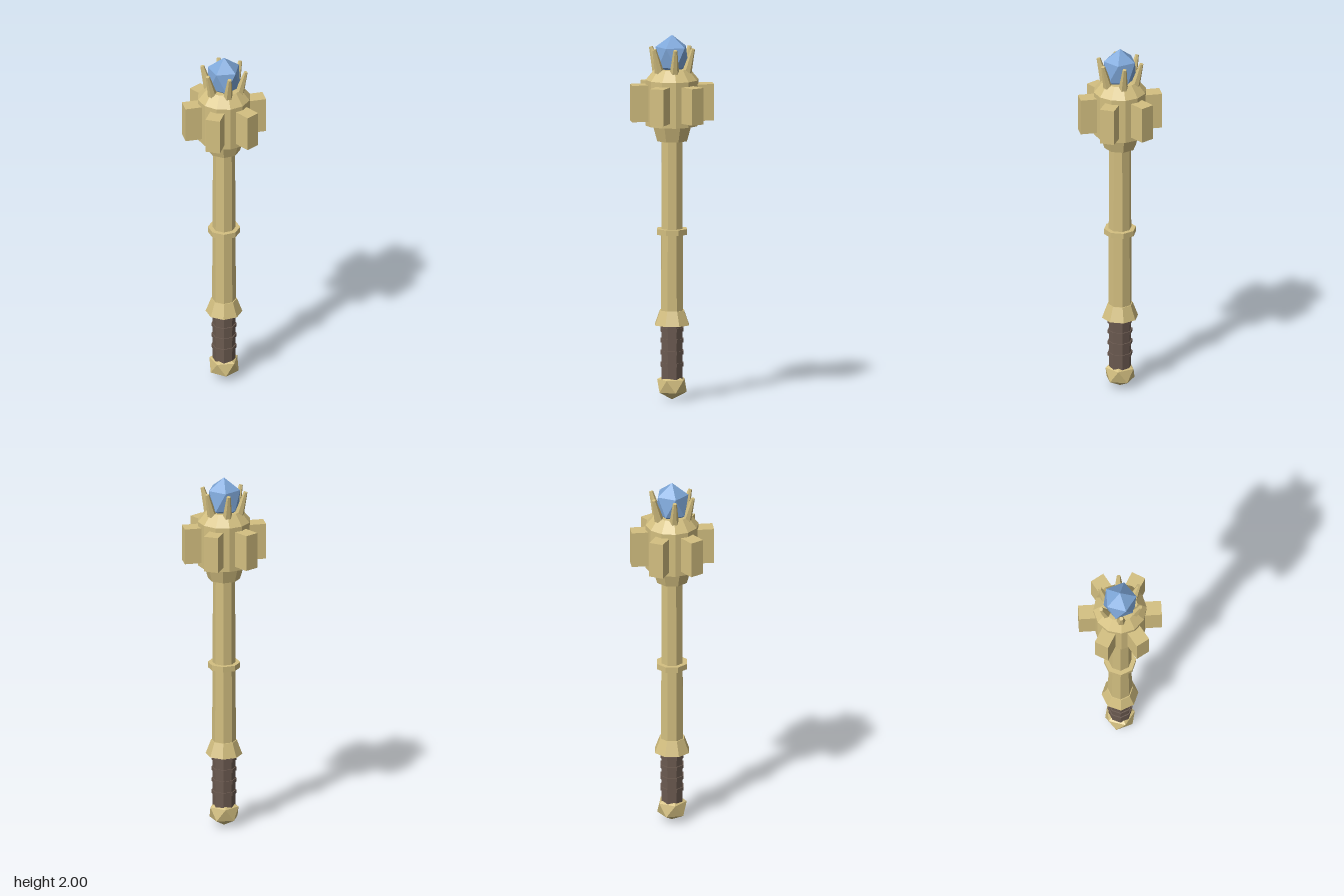
import * as THREE from 'three';

export function createModel() {
  const group = new THREE.Group();
  const mat = (name, color) => {
    const m = new THREE.MeshStandardMaterial({ color, flatShading: true });
    m.name = name;
    return m;
  };
  const gold = mat('pale gold', 0xd3bf80);
  const leather = mat('brown leather', 0x6b5a50);
  const crystal = mat('blue crystal', 0x7fa8da);

  const add = (name, geo, material, parent = group) => {
    const mesh = new THREE.Mesh(geo, material);
    mesh.name = name;
    parent.add(mesh);
    return mesh;
  };

  // Faceted cone section between two heights, with a corner on each axis
  const section = (name, y0, y1, r0, r1, sides, material) => {
    const mesh = add(name, new THREE.CylinderGeometry(r1, r0, y1 - y0, sides), material);
    mesh.position.y = (y0 + y1) / 2;
    return mesh;
  };

  // Twenty-sided stone standing on a corner, upper ring corner toward +x
  const stone = (name, r, stretch, y, material) => {
    const geo = new THREE.IcosahedronGeometry(r, 0);
    const t = (1 + Math.sqrt(5)) / 2;
    const up = new THREE.Vector3(0, 1, t).normalize();
    const side = new THREE.Vector3(0, -1, t);
    side.addScaledVector(up, -side.dot(up)).normalize();
    const third = new THREE.Vector3().crossVectors(side, up);
    geo.applyMatrix4(new THREE.Matrix4().makeBasis(side, up, third).transpose());
    geo.scale(1, stretch, 1);
    add(name, geo, material).position.y = y;
  };

  // Pommel and wrapped grip
  stone('pommel', 0.09, 0.85, 0.0765, gold);
  section('grip', 0.1, 0.42, 0.062, 0.062, 8, leather);
  [0.193, 0.26, 0.325, 0.385].forEach((y) =>
    section('gripBand', y - 0.01, y + 0.01, 0.068, 0.068, 8, leather));

  // Shaft with its collars
  section('guardCollar', 0.41, 0.49, 0.1, 0.07, 8, gold);
  section('shaft', 0.45, 1.44, 0.065, 0.06, 8, gold);
  section('shaftRing', 0.907, 0.938, 0.088, 0.088, 8, gold);
  section('headCollar', 1.42, 1.505, 0.087, 0.112, 8, gold);

  // Head drum and sloping shoulder
  section('head', 1.505, 1.755, 0.145, 0.145, 12, gold);
  section('headShoulder', 1.755, 1.815, 0.145, 0.095, 12, gold);

  // Six flanges, with six crown prongs set between them
  for (let i = 0; i < 6; i++) {
    const flangeArm = new THREE.Group();
    flangeArm.name = 'flangeArm';
    flangeArm.rotation.y = (i * Math.PI) / 3;
    add('flange', new THREE.BoxGeometry(0.145, 0.2, 0.08), gold, flangeArm)
      .position.set(0.153, 1.63, 0);
    group.add(flangeArm);

    const prongArm = new THREE.Group();
    prongArm.name = 'prongArm';
    prongArm.rotation.y = ((i + 0.5) * Math.PI) / 3;
    const prong = add('prong', new THREE.CylinderGeometry(0.011, 0.028, 0.15, 6), gold, prongArm);
    prong.position.set(0.103, 1.857, 0);
    prong.rotation.z = -0.27;
    group.add(prongArm);
  }

  // Crystal held by the crown
  stone('crystal', 0.1, 1.2, 1.88, crystal);
  return group;
}
